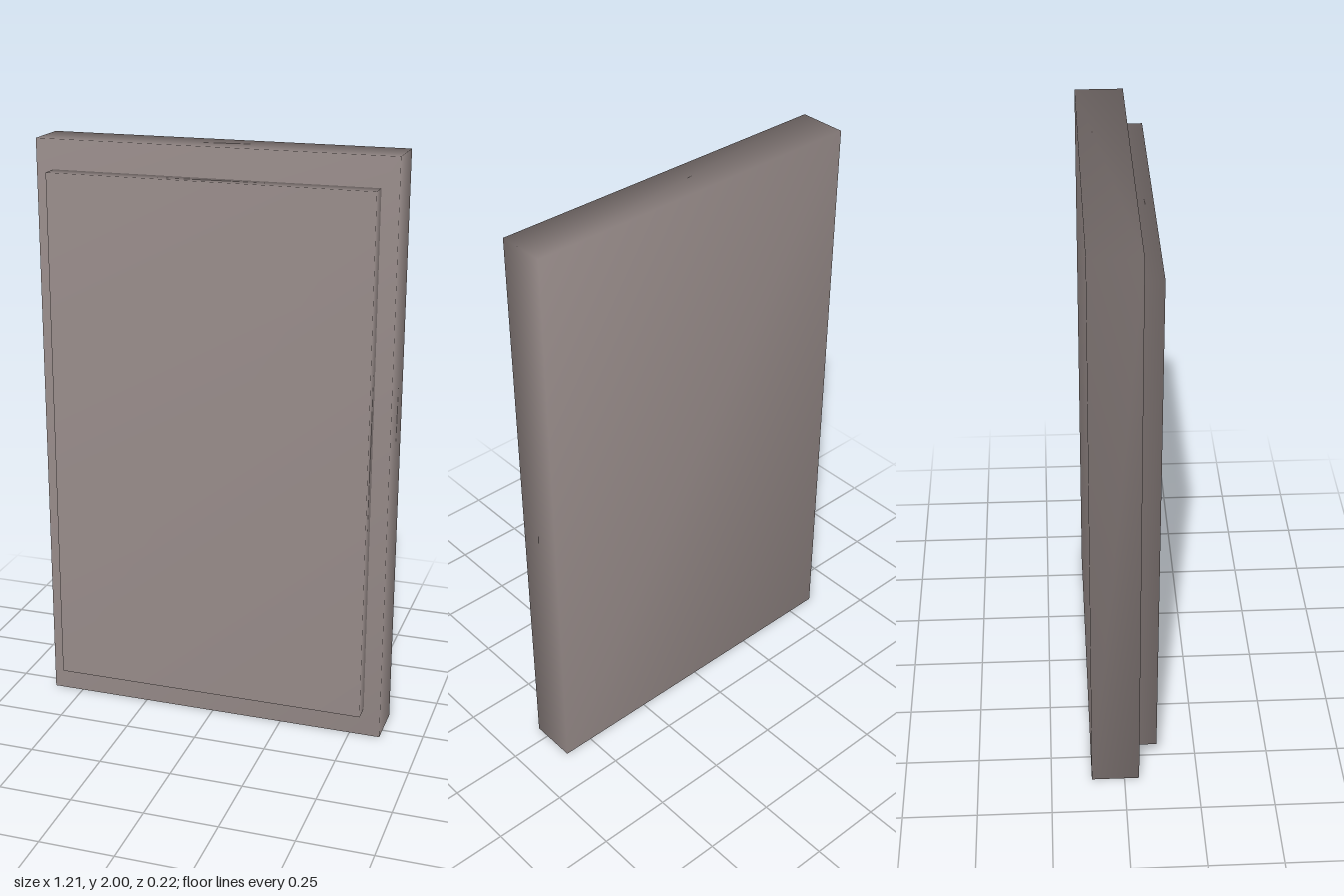
import * as THREE from 'three';
import { mergeVertices } from 'three/addons/utils/BufferGeometryUtils.js';

// Slab with shared corners, so its shading runs smoothly around the edges
function slab(name, width, height, depth, y, z, material) {
  const box = new THREE.BoxGeometry(width, height, depth);
  box.deleteAttribute('uv');
  box.deleteAttribute('normal');
  const geometry = mergeVertices(box);
  geometry.computeVertexNormals();
  const mesh = new THREE.Mesh(geometry, material);
  mesh.name = name;
  mesh.position.set(0, y, z);
  return mesh;
}

export function createModel() {
  const group = new THREE.Group();
  group.name = 'panelBoard';
  const material = new THREE.MeshStandardMaterial({ color: 0x988c8a });

  // Thick backing board
  group.add(slab('backBoard', 1.212, 2, 0.162, 1, -0.031, material));
  // Thinner raised panel on the front
  group.add(slab('frontPanel', 1.096, 1.8, 0.062, 1, 0.081, material));

  return group;
}
